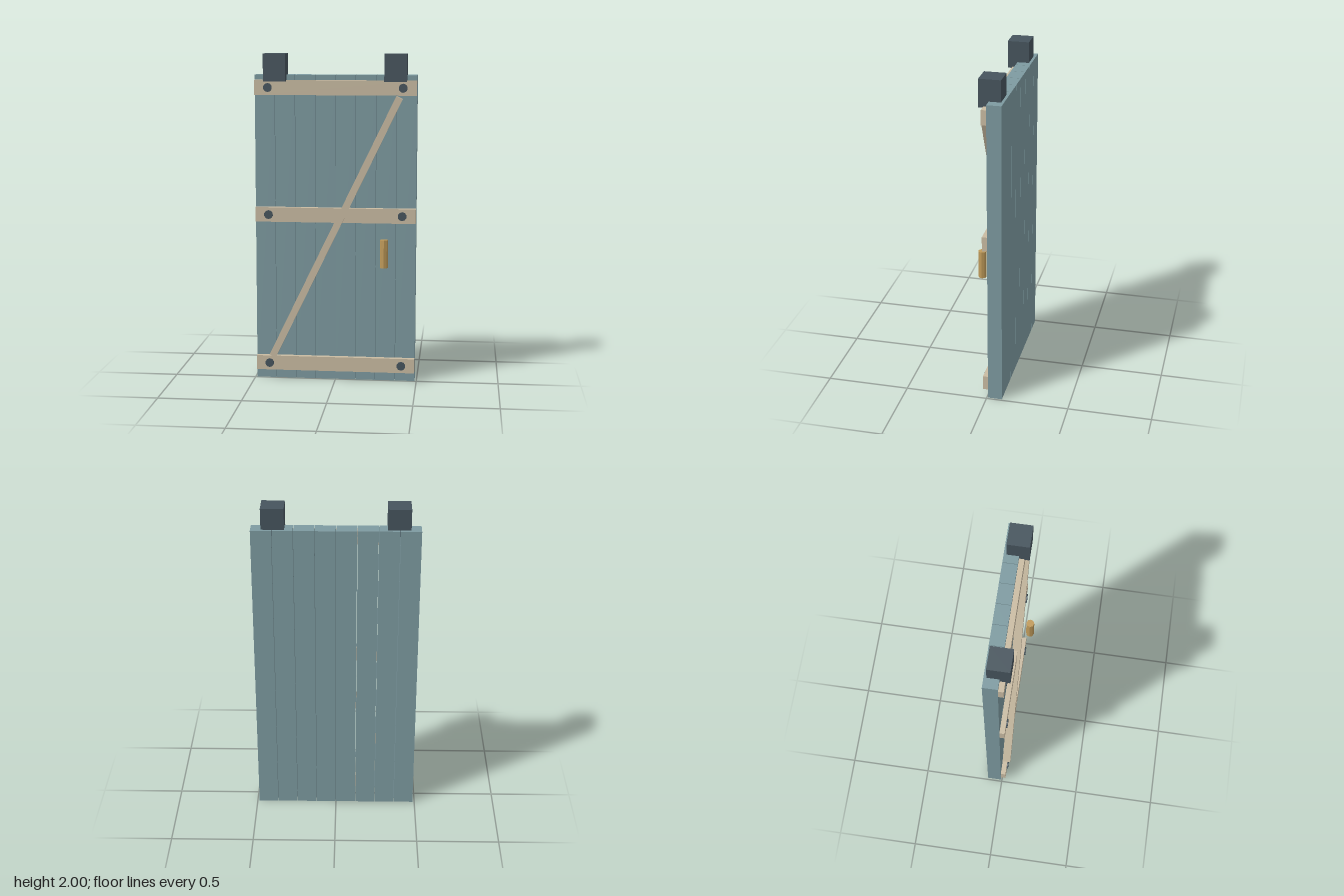
import * as THREE from 'three';

export function createModel() {
  const door = new THREE.Group();
  door.name = 'plankDoor';

  const material = (name, color) => {
    const m = new THREE.MeshStandardMaterial({ color, flatShading: true });
    m.name = name;
    return m;
  };
  const teal = material('tealPaint', 0x7d9aa0);
  const paleWood = material('paleWood', 0xc9bba2);
  const iron = material('darkIron', 0x46545d);
  const brass = material('brass', 0xbf9a59);

  const add = (name, geometry, mat, x, y, z) => {
    const mesh = new THREE.Mesh(geometry, mat);
    mesh.name = name;
    mesh.position.set(x, y, z);
    door.add(mesh);
    return mesh;
  };

  // Eight vertical planks with hairline gaps
  const count = 8, width = 0.98, pitch = width / count, gap = 0.003;
  for (let i = 0; i < count; i++) {
    const x = -width / 2 + pitch * (i + 0.5);
    add('plank', new THREE.BoxGeometry(pitch - gap, 1.873, 0.086), teal, x, 0.9365, -0.05);
  }

  // Three cross rails, each with a bolt at both ends
  for (const y of [0.101, 1.029, 1.798]) {
    add('crossRail', new THREE.BoxGeometry(0.975, 0.089, 0.031), paleWood, 0, y, 0.0085);
    for (const side of [-1, 1]) {
      const bolt = add('bolt', new THREE.CylinderGeometry(0.027, 0.027, 0.02, 10), iron, side * 0.406, y, 0.022);
      bolt.rotation.x = Math.PI / 2;
    }
  }

  // Diagonal brace from lower right to upper left
  const dx = 0.77, dy = 1.593;
  const brace = add('diagonalBrace', new THREE.BoxGeometry(0.042, Math.hypot(dx, dy), 0.05), paleWood, 0, 0.945, 0.018);
  brace.rotation.z = -Math.atan2(dx, dy);

  // Hanger blocks at the top
  for (const side of [-1, 1]) {
    add('hangerBlock', new THREE.BoxGeometry(0.134, 0.165, 0.129), iron, side * 0.362, 1.9175, -0.0125);
  }

  // Upright handle
  add('handle', new THREE.CylinderGeometry(0.025, 0.025, 0.17, 8), brass, 0.301, 0.807, 0.068);

  return door;
}
